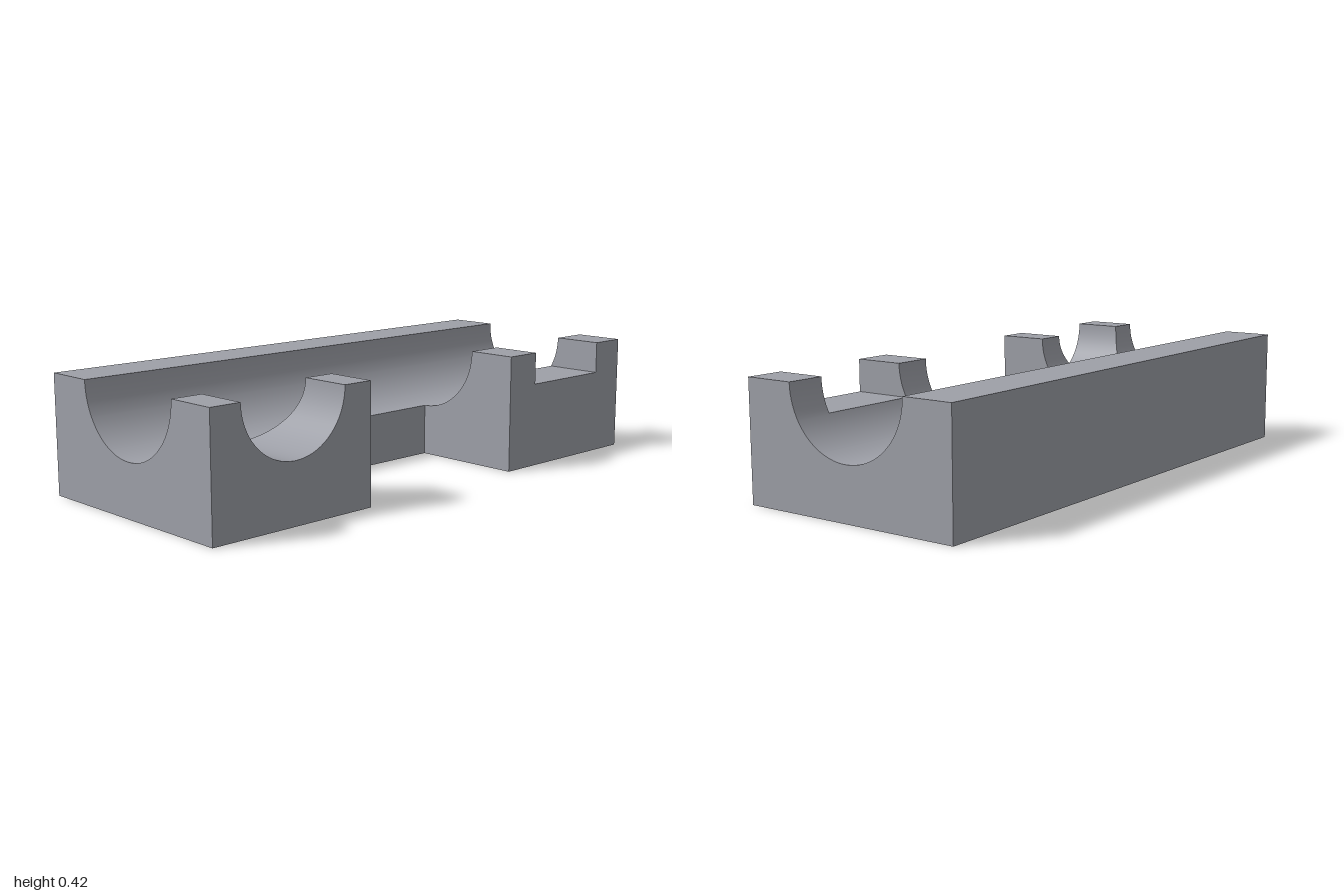
import * as THREE from 'three';
import { toCreasedNormals } from 'three/addons/utils/BufferGeometryUtils.js';

const H = 0.42;           // block height
const W = 0.418;          // half depth
const GROOVE_R = 0.233;   // long channel radius
const NOTCH_R = 0.21;     // round cross notch radius
const NOTCH_X = -0.675;
const SLOT_DEPTH = 0.115; // rectangular slot
const GAP = 0.35;         // half width of the front cut-out

// Depth levels shared by channel and round notch, so that their
// intersection curve runs exactly through grid corners
function depthLevels() {
  const levels = [SLOT_DEPTH];
  for (let i = 0; i <= 18; i++) levels.push(NOTCH_R * Math.sin((i / 18) * Math.PI / 2));
  const start = Math.asin(NOTCH_R / GROOVE_R);
  for (let i = 1; i <= 6; i++) levels.push(GROOVE_R * Math.sin(start + (i / 6) * (Math.PI / 2 - start)));
  return levels.sort((a, b) => a - b);
}

// Symmetric circular cut as [position, depth] pairs
function roundCut(center, radius, levels) {
  const half = levels
    .filter((d) => d <= radius + 1e-6)
    .map((d) => [Math.sqrt(Math.max(0, radius * radius - d * d)), d]);
  half[half.length - 1][0] = 0;
  const left = half.map(([o, d]) => [center - o, d]);
  const right = half.slice(0, -1).reverse().map(([o, d]) => [center + o, d]);
  return [...left, ...right];
}

function blockGeometry() {
  const levels = depthLevels();
  // Stations along x: round notch, cut-out, then the stepped slot
  const columns = [
    [-1, 0], ...roundCut(NOTCH_X, NOTCH_R, levels), [-GAP, 0], [GAP, 0],
    [0.49, 0], [0.49, SLOT_DEPTH], [0.86, SLOT_DEPTH], [0.86, 0], [1, 0],
  ];
  // Stations along z: the channel runs the full length
  const rows = [[-W, 0], ...roundCut(0, GROOVE_R, levels), [W, 0]];

  // Side cuts only affect the front half
  const top = (i, j) => {
    const side = rows[j][0] > 0 ? columns[i][1] : 0;
    return new THREE.Vector3(columns[i][0], H - Math.max(side, rows[j][1]), rows[j][0]);
  };
  const solid = (i, j) => {
    if (i < 0 || j < 0 || i >= columns.length - 1 || j >= rows.length - 1) return false;
    return !(columns[i][0] === -GAP && rows[j][0] >= 0);
  };

  const positions = [];
  const triangle = (a, b, c) => {
    const area = b.clone().sub(a).cross(c.clone().sub(a)).length();
    if (area > 1e-10) for (const p of [a, b, c]) positions.push(p.x, p.y, p.z);
  };
  const quad = (a, b, c, d) => {
    // The higher diagonal follows the ridge between the cuts
    if (a.y + c.y >= b.y + d.y) {
      triangle(a, b, c);
      triangle(a, c, d);
    } else {
      triangle(a, b, d);
      triangle(b, c, d);
    }
  };
  const floor = (p) => new THREE.Vector3(p.x, 0, p.z);
  const wall = (p, q) => quad(p, floor(p), floor(q), q);

  for (let i = 0; i < columns.length - 1; i++) {
    for (let j = 0; j < rows.length - 1; j++) {
      if (!solid(i, j)) continue;
      const a = top(i, j), b = top(i, j + 1), c = top(i + 1, j + 1), d = top(i + 1, j);
      quad(a, b, c, d);
      quad(floor(d), floor(c), floor(b), floor(a));
      // Outer walls wherever the neighbouring cell is empty
      if (!solid(i, j + 1)) wall(b, c);
      if (!solid(i + 1, j)) wall(c, d);
      if (!solid(i, j - 1)) wall(d, a);
      if (!solid(i - 1, j)) wall(a, b);
    }
  }

  const geometry = new THREE.BufferGeometry();
  geometry.setAttribute('position', new THREE.Float32BufferAttribute(positions, 3));
  return toCreasedNormals(geometry, 0.45);
}

export function createModel() {
  const model = new THREE.Group();
  model.name = 'channelBlock';
  // Cool blue-grey metal tone
  const block = new THREE.Mesh(blockGeometry(), new THREE.MeshStandardMaterial({ color: 0x9ea0a8 }));
  block.name = 'notchedBlock';
  model.add(block);
  return model;
}
